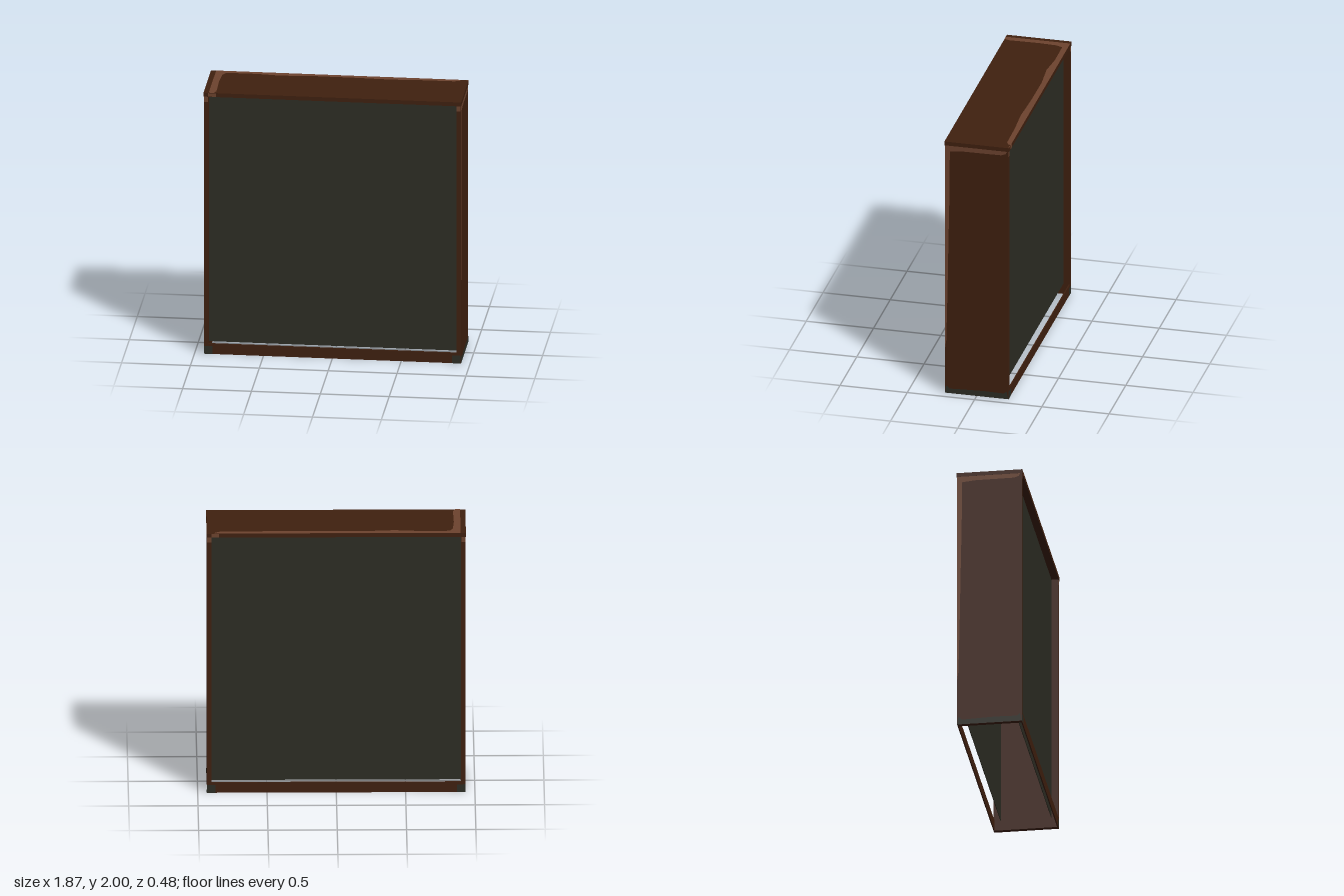
import * as THREE from 'three';

export function createModel() {
  const model = new THREE.Group();
  model.name = 'shallowCabinet';

  const material = (name, color) => {
    const m = new THREE.MeshStandardMaterial({ color });
    m.name = name;
    return m;
  };
  const wood = material('darkWood', 0x40200f);
  const worn = material('wornWood', 0x6d432e);
  const slate = material('slate', 0x2d2d24);

  const W = 0.935, D = 0.24, SIDE_D = 0.236, T = 0.033, TOP = 1.97;
  const RAIL_H = 0.08, PANEL_Z = 0.187, LIFT = 0.0015;

  const box = (parent, name, mat, size, pos) => {
    const mesh = new THREE.Mesh(new THREE.BoxGeometry(...size), mat);
    mesh.name = name;
    mesh.position.set(...pos);
    parent.add(mesh);
    return mesh;
  };

  // Flat painted patch; its outline is given in the plane of the face it lies on
  const patch = (parent, name, mat, points, pos, rot = [0, 0, 0]) => {
    const shape = new THREE.Shape(points.map(([x, y]) => new THREE.Vector2(x, y)));
    const mesh = new THREE.Mesh(new THREE.ShapeGeometry(shape), mat);
    mesh.name = name;
    mesh.position.set(...pos);
    mesh.rotation.set(...rot);
    parent.add(mesh);
  };
  const rect = (x0, y0, x1, y1) => [[x0, y0], [x1, y0], [x1, y1], [x0, y1]];

  // Top board, with a worn band along its back and right edges
  box(model, 'topBoard', wood, [2 * W, 2 - TOP, 2 * D], [0, (2 + TOP) / 2, 0]);
  patch(model, 'topWornEdge', worn, [
    [-0.897, -D], [-0.86, -D], [-0.845, -0.2], [-0.85, 0.02], [-0.842, 0.15],
    [-0.82, 0.198], [-0.6, 0.2], [-0.42, 0.182], [-0.2, 0.2], [0.1, 0.198],
    [0.38, 0.188], [0.6, 0.2], [0.84, 0.203], [0.875, 0.22], [0.88, 0.236],
    [W, 0.236], [W, D], [-0.897, D],
  ], [0, 2 + LIFT, 0], [-Math.PI / 2, 0, 0]);

  // The two halves are the same, turned half a circle about the upright axis
  ['front', 'back'].forEach((label, i) => {
    const half = new THREE.Group();
    half.name = label + 'Half';
    half.rotation.y = i * Math.PI;
    model.add(half);

    // Side board
    box(half, 'sideBoard', wood, [T, TOP, 2 * SIDE_D], [W - T / 2 - 0.002, TOP / 2, 0]);

    // Worn band on the outer side: across the top and tapering down one edge
    const outer = W - 0.002 + LIFT, quarter = [0, Math.PI / 2, 0];
    patch(half, 'sideWornEdge', worn, [
      [-SIDE_D, 0.35], [-0.226, 0.42], [-0.217, 0.8], [-0.21, 1.2], [-0.202, 1.6],
      [-0.2, 1.925], [-0.1, 1.935], [0.18, 1.937], [0.215, 1.95], [0.225, TOP],
      [-SIDE_D, TOP],
    ], [outer, 0, 0], quarter);
    patch(half, 'sideFootStain', slate, [
      [-0.236, 0], [0.236, 0], [0.222, 0.06], [0.2, 0.042], [0.05, 0.045],
      [-0.1, 0.04], [-0.2, 0.036], [-0.228, 0.06],
    ], [outer, 0, 0], quarter);

    // Bottom rail and recessed panel, with the base left open
    box(half, 'bottomRail', wood, [2 * (W - T), RAIL_H, 0.008], [0, RAIL_H / 2, SIDE_D - 0.004]);
    box(half, 'panel', slate, [2 * (W - T), TOP - RAIL_H, 0.004], [0, (TOP + RAIL_H) / 2, PANEL_Z - 0.002]);

    // Stained feet and worn upper corners on the face
    const face = SIDE_D + LIFT;
    for (const s of [-1, 1]) {
      const inner = s * (W - 0.065), edge = s * (W - 0.003);
      patch(half, 'cornerFootStain', slate,
        rect(Math.min(inner, edge), 0, Math.max(inner, edge), 0.06), [0, 0, face]);
      const a = s * (W - T), b = s * (W - 0.003);
      patch(half, 'cornerWear', worn,
        rect(Math.min(a, b), 1.93, Math.max(a, b), TOP), [0, 0, face]);
    }
    patch(half, 'topEdgeWear', worn, rect(-0.9, TOP + 0.002, -0.845, 1.998), [0, 0, D + LIFT]);
  });

  return model;
}
